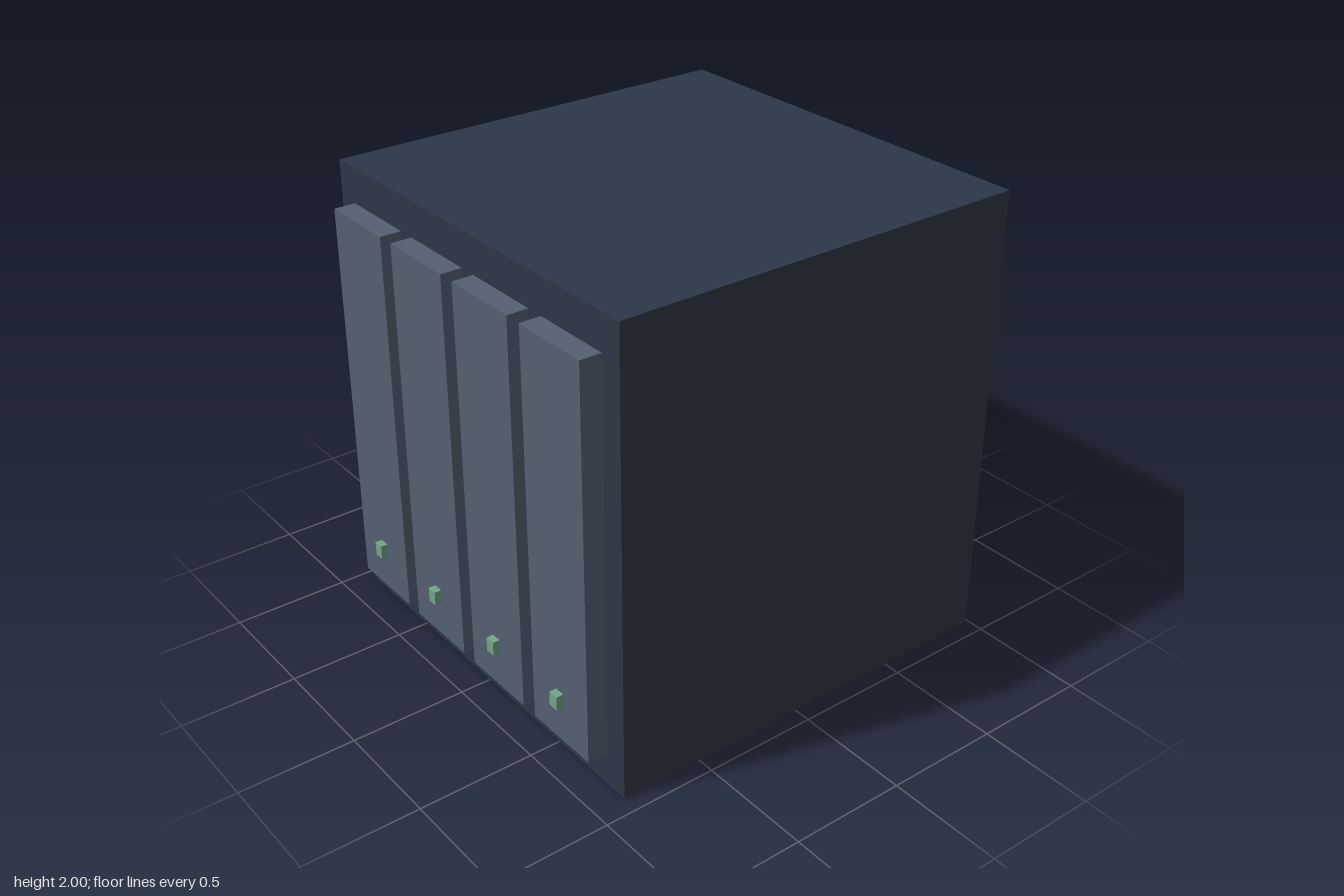
import * as THREE from 'three';

const paint = (color) => new THREE.MeshStandardMaterial({ color });

// Box given by its centre in x, lower edge in y and back face in z
function block(name, [w, h, d], [x, y0, z0], material) {
  const mesh = new THREE.Mesh(new THREE.BoxGeometry(w, h, d), material);
  mesh.position.set(x, y0 + h / 2, z0 + d / 2);
  mesh.name = name;
  return mesh;
}

export function createModel() {
  const model = new THREE.Group();
  model.name = 'driveEnclosure';
  const caseColor = paint(0x2d3748);
  const bayColor = paint(0x556071);
  const lightColor = paint(0x72a58a);

  // Main housing
  const backZ = -0.985, caseDepth = 1.847, bayDepth = 0.092;
  const frontZ = backZ + caseDepth;
  model.add(block('housing', [1.846, 2, caseDepth], [0, 0, backZ], caseColor));

  // Four drive bays, each with a status light near the bottom
  const spacing = 0.431;
  for (let i = 0; i < 4; i++) {
    const x = (i - 1.5) * spacing;
    const bay = new THREE.Group();
    bay.name = `driveBay${i + 1}`;
    bay.add(
      block('bayDoor', [0.354, 1.692, bayDepth], [x, 0.154, frontZ], bayColor),
      block('statusLight', [0.046, 0.062, 0.031], [x, 0.317, frontZ + bayDepth], lightColor),
    );
    model.add(bay);
  }
  return model;
}
